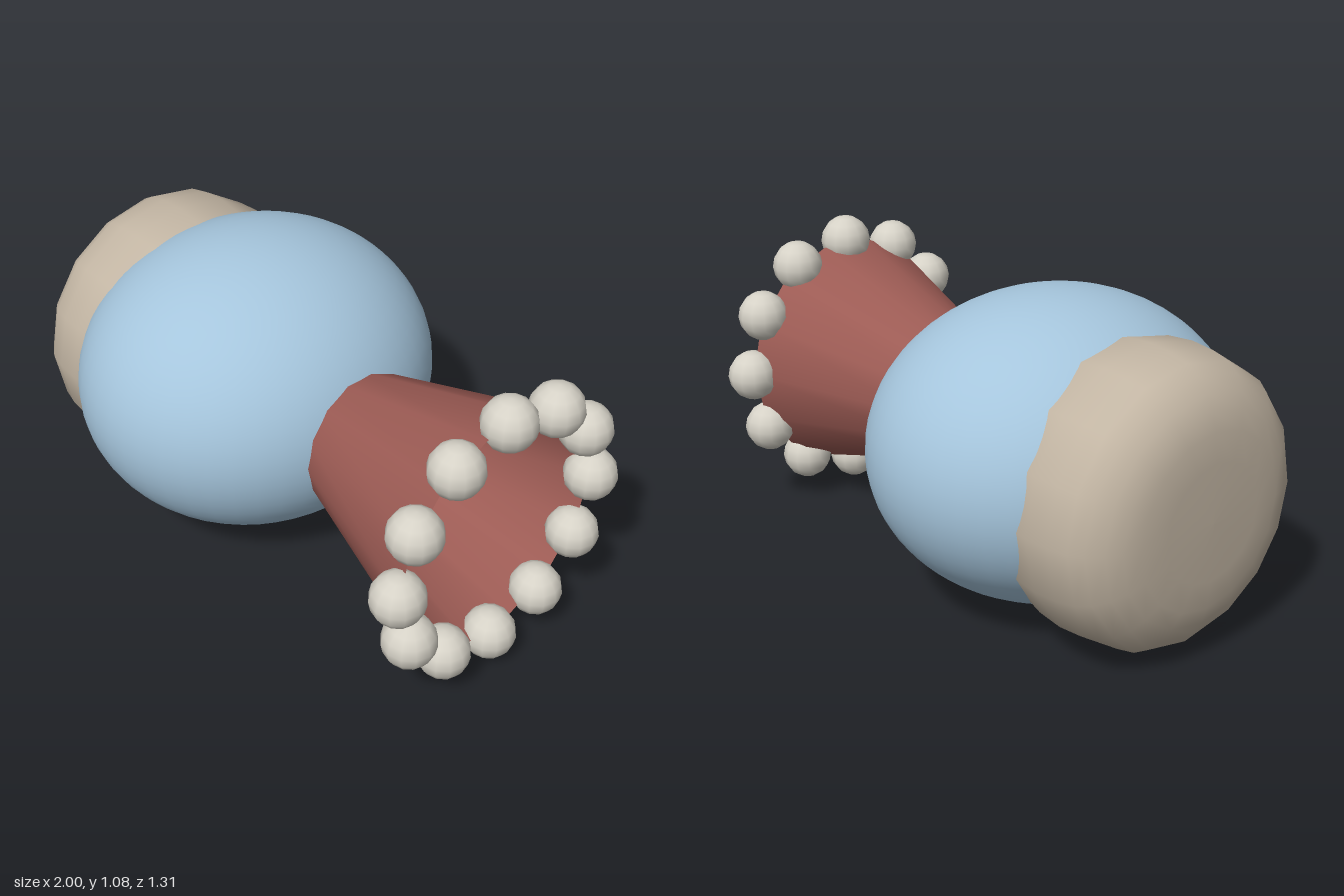
import * as THREE from 'three';

const mat = (name, color, side = THREE.FrontSide) => {
  const m = new THREE.MeshStandardMaterial({ color, side });
  m.name = name;
  return m;
};

export function createModel() {
  const group = new THREE.Group();
  const blue = mat('pale blue', 0xa5c5dc);
  const tan = mat('warm beige', 0xc2b5a3, THREE.DoubleSide);
  const red = mat('dusty red', 0x9c5b54, THREE.DoubleSide);
  const ivory = mat('ivory', 0xd6d2c7);

  const add = (name, geometry, material, x, y, z = 0) => {
    const mesh = new THREE.Mesh(geometry, material);
    mesh.name = name;
    mesh.position.set(x, y, z);
    group.add(mesh);
    return mesh;
  };

  // Smooth egg-shaped body
  const body = new THREE.SphereGeometry(1, 48, 32).scale(0.6, 0.525, 0.655);
  add('body', body, blue, -0.275, 0.55);

  // Rounded cap over the left-hand end, turned around the x axis
  const profile = [
    [0, -1], [0.2, -0.998], [0.3, -0.988], [0.36, -0.97], [0.41, -0.945],
    [0.455, -0.905], [0.483, -0.86], [0.499, -0.79], [0.506, -0.7],
    [0.497, -0.6], [0.462, -0.46], [0.4, -0.36],
  ].map(([r, x]) => new THREE.Vector2(r, x));
  const cap = new THREE.LatheGeometry(profile, 16).rotateZ(-Math.PI / 2);
  add('cap', cap, tan, 0, 0.508);

  // Open flared funnel at the other end
  const start = 0.2, end = 0.91;
  const funnel = new THREE.CylinderGeometry(0.435, 0.222, end - start, 14, 1, true)
    .rotateZ(-Math.PI / 2);
  add('funnel', funnel, red, (start + end) / 2, 0.55);

  // Ring of beads around the funnel rim
  const bead = new THREE.SphereGeometry(0.092, 12, 8);
  for (let i = 0; i < 12; i++) {
    const a = (i / 12) * Math.PI * 2;
    add('bead' + (i + 1), bead, ivory, 0.908, 0.55 + 0.44 * Math.cos(a), 0.44 * Math.sin(a));
  }
  return group;
}
